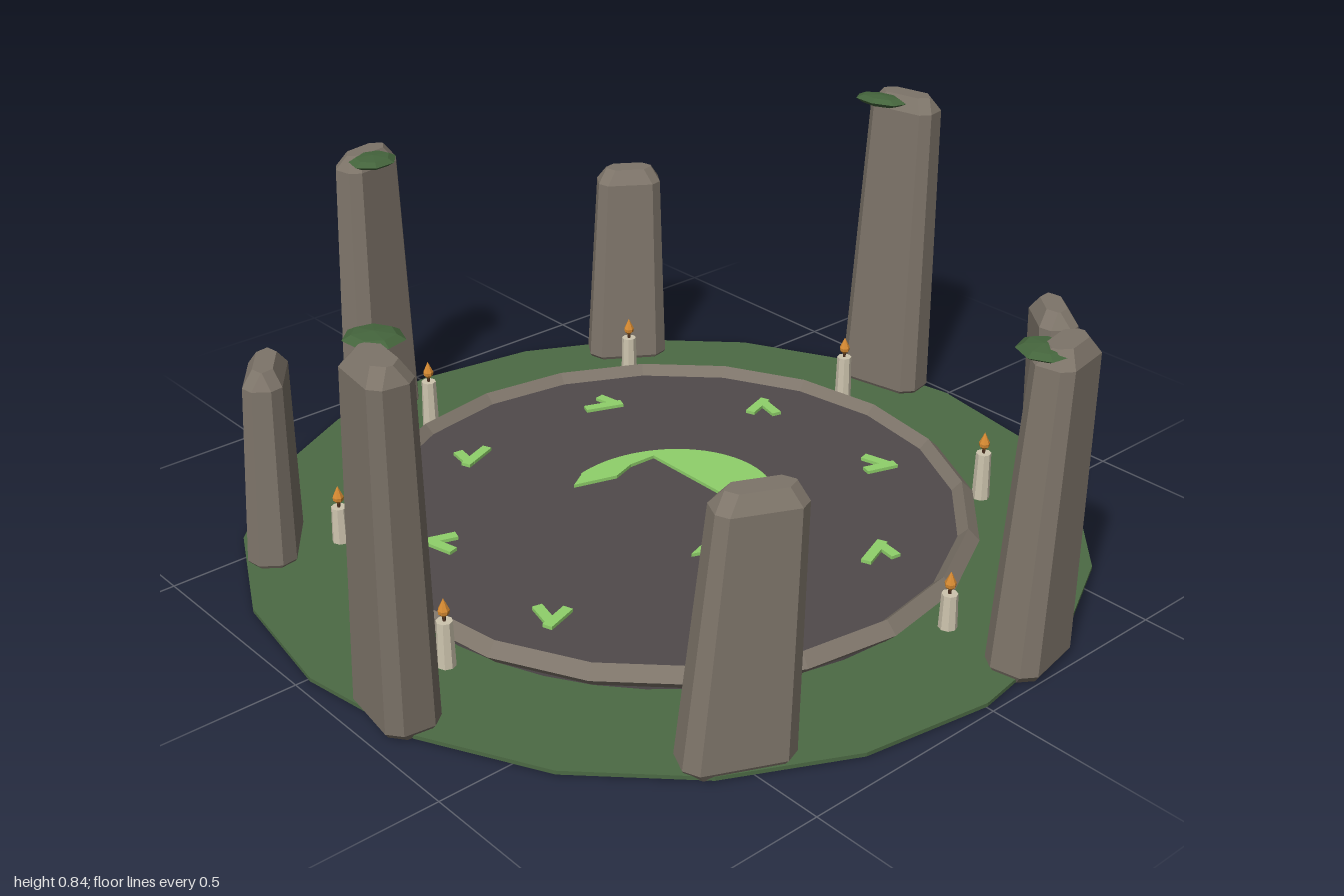
import * as THREE from 'three';
import { ConvexGeometry } from 'three/addons/geometries/ConvexGeometry.js';

const mat = (name, color, extra = {}) => {
  const m = new THREE.MeshStandardMaterial({ color, flatShading: true, ...extra });
  m.name = name;
  return m;
};

export function createModel() {
  const stone = mat('stone', 0x7d7469);
  const grass = mat('grass', 0x4c6a44);
  const moss = mat('moss', 0x44643c);
  const slate = mat('slate', 0x504a4b);
  const glow = mat('glowing green', 0x8fd06a);
  const wax = mat('wax', 0xcdc4ae);
  const flame = mat('flame', 0xd68a32);
  const wick = mat('wick', 0x4a3020);

  const root = new THREE.Group();
  root.name = 'stoneCircle';
  const CZ = 0.012; // centre of the circle in z

  const add = (parent, name, geo, material, x = 0, y = 0, z = 0) => {
    const m = new THREE.Mesh(geo, material);
    m.name = name;
    m.position.set(x, y, z);
    parent.add(m);
    return m;
  };

  // Ground, floor and rim
  add(root, 'ground', new THREE.CylinderGeometry(0.973, 0.973, 0.009, 20), grass, 0, 0.0075, CZ);
  add(root, 'floor', new THREE.CylinderGeometry(0.685, 0.685, 0.05, 40), slate, 0, 0.025, CZ);
  const rim = add(root, 'rim', new THREE.TorusGeometry(0.694, 0.027, 4, 20), stone, 0, 0.046, CZ);
  rim.rotation.x = Math.PI / 2;

  // Standing stone: tapered, leaning block with cut corners
  const stoneGeometry = (w, d, h, lean, yaw, taper) => {
    const pts = [];
    const levels = [[0, 0.012], [0.02, 0], [h - 0.035, 0], [h, 0.02]];
    const c = Math.cos(yaw), s = Math.sin(yaw);
    for (const [y, inset] of levels) {
      const t = y / h, k = 1 + (taper - 1) * t;
      const a = (w / 2) * k - inset, b = (d / 2) * k - inset, cut = 0.028 * k;
      for (const sx of [-1, 1]) for (const sz of [-1, 1]) {
        for (const [px, pz] of [[a - cut, b], [a, b - cut]]) {
          const x = sx * px, z = sz * pz;
          pts.push(new THREE.Vector3(x * c + z * s + lean[0] * t, y, -x * s + z * c + lean[1] * t));
        }
      }
    }
    return new ConvexGeometry(pts);
  };

  // base x, base z, top x, top z, height, width, depth, yaw in degrees
  const stones = [
    [-0.175, -0.90, -0.155, -0.93, 0.70, 0.205, 0.115, 11],
    [0.515, -0.74, 0.545, -0.76, 0.53, 0.205, 0.12, -34],
    [0.913, -0.155, 0.938, -0.15, 0.80, 0.225, 0.115, -79],
    [0.76, 0.525, 0.753, 0.493, 0.50, 0.195, 0.115, 52],
    [0.19, 0.928, 0.233, 0.925, 0.725, 0.195, 0.125, 11],
    [-0.498, 0.775, -0.45, 0.78, 0.595, 0.235, 0.115, -25],
    [-0.90, 0.22, -0.938, 0.29, 0.835, 0.20, 0.125, 82],
    [-0.745, -0.488, -0.733, -0.483, 0.475, 0.22, 0.11, 53],
  ];
  stones.forEach(([x, z, tx, tz, h, w, d, yaw], i) => {
    const geo = stoneGeometry(w, d, h, [tx - x, tz - z], THREE.MathUtils.degToRad(yaw), 0.77);
    add(root, 'standingStone' + (i + 1), geo, stone, x, 0, z);
  });

  // Flat moss tufts: x, y, z, half width, half depth, yaw, tilt
  const tufts = [
    [-0.17, 0.69, -0.875, 0.065, 0.055, 0.3, 0],
    [0.875, 0.787, -0.18, 0.042, 0.07, 0.2, -0.05],
    [0.185, 0.711, 0.905, 0.05, 0.06, 0, 0.08],
    [-0.888, 0.825, 0.21, 0.055, 0.062, 0.5, 0],
  ];
  for (const [x, y, z, a, b, yaw, tilt] of tufts) {
    const m = add(root, 'mossTuft', new THREE.SphereGeometry(1, 7, 4), moss, x, y, z);
    m.scale.set(a, 0.014, b);
    m.rotation.set(0, yaw, tilt);
  }

  // Candles just outside the rim, one before each stone
  const waxHeights = [0.14, 0.125, 0.14, 0.13, 0.095, 0.14, 0.12, 0.1];
  waxHeights.forEach((h, i) => {
    const a = THREE.MathUtils.degToRad(11.3 + 0 - 22.6 + 45 * i);
    const g = new THREE.Group();
    g.name = 'candle' + (i + 1);
    g.position.set(0.75 * Math.sin(a), 0, CZ - 0.75 * Math.cos(a));
    add(g, 'waxStick', new THREE.CylinderGeometry(0.018, 0.021, h - 0.01, 8), wax, 0, (h + 0.01) / 2, 0);
    add(g, 'wick', new THREE.CylinderGeometry(0.004, 0.004, 0.014, 5), wick, 0, h + 0.005, 0);
    const drop = [[0, 0], [0.012, 0.012], [0.013, 0.02], [0, 0.048]].map(p => new THREE.Vector2(...p));
    add(g, 'flame', new THREE.LatheGeometry(drop, 7), flame, 0, h + 0.006, 0);
    root.add(g);
  });

  // Crescent inlay; shape y becomes -z
  const crescent = new THREE.Shape();
  crescent.moveTo(-0.115, 0.2);
  crescent.lineTo(-0.07, 0.228);
  crescent.absellipse(0, 0, 0.265, 0.24, 1.83, -1.83, true);
  crescent.lineTo(-0.115, -0.212);
  for (const [x, y] of [[-0.01, -0.178], [0.05, -0.2], [0.12, -0.2],
    [0.12, 0.185], [0.05, 0.188], [-0.01, 0.168]]) crescent.lineTo(x, y);
  crescent.closePath();
  const inlay = add(root, 'crescentInlay',
    new THREE.ExtrudeGeometry(crescent, { depth: 0.008, bevelEnabled: false, curveSegments: 28 }),
    glow, 0, 0.05, CZ);
  inlay.rotation.x = -Math.PI / 2;

  // Forked floor marks: strokes of one quarter, mirrored to the rest
  const strokes = [
    [0.222, 0.515, 0.232, 0.45], [0.155, 0.487, 0.245, 0.452],
    [0.518, 0.225, 0.5, 0.15], [0.455, 0.2, 0.532, 0.225],
  ];
  for (const sx of [-1, 1]) for (const sz of [-1, 1]) {
    for (const [x1, z1, x2, z2] of strokes) {
      const dx = sx * (x2 - x1), dz = sz * (z2 - z1);
      const bar = add(root, 'floorMark', new THREE.BoxGeometry(Math.hypot(dx, dz), 0.008, 0.024), glow,
        sx * (x1 + x2) / 2, 0.054, CZ + sz * (z1 + z2) / 2);
      bar.rotation.y = -Math.atan2(dz, dx);
    }
  }
  return root;
}
